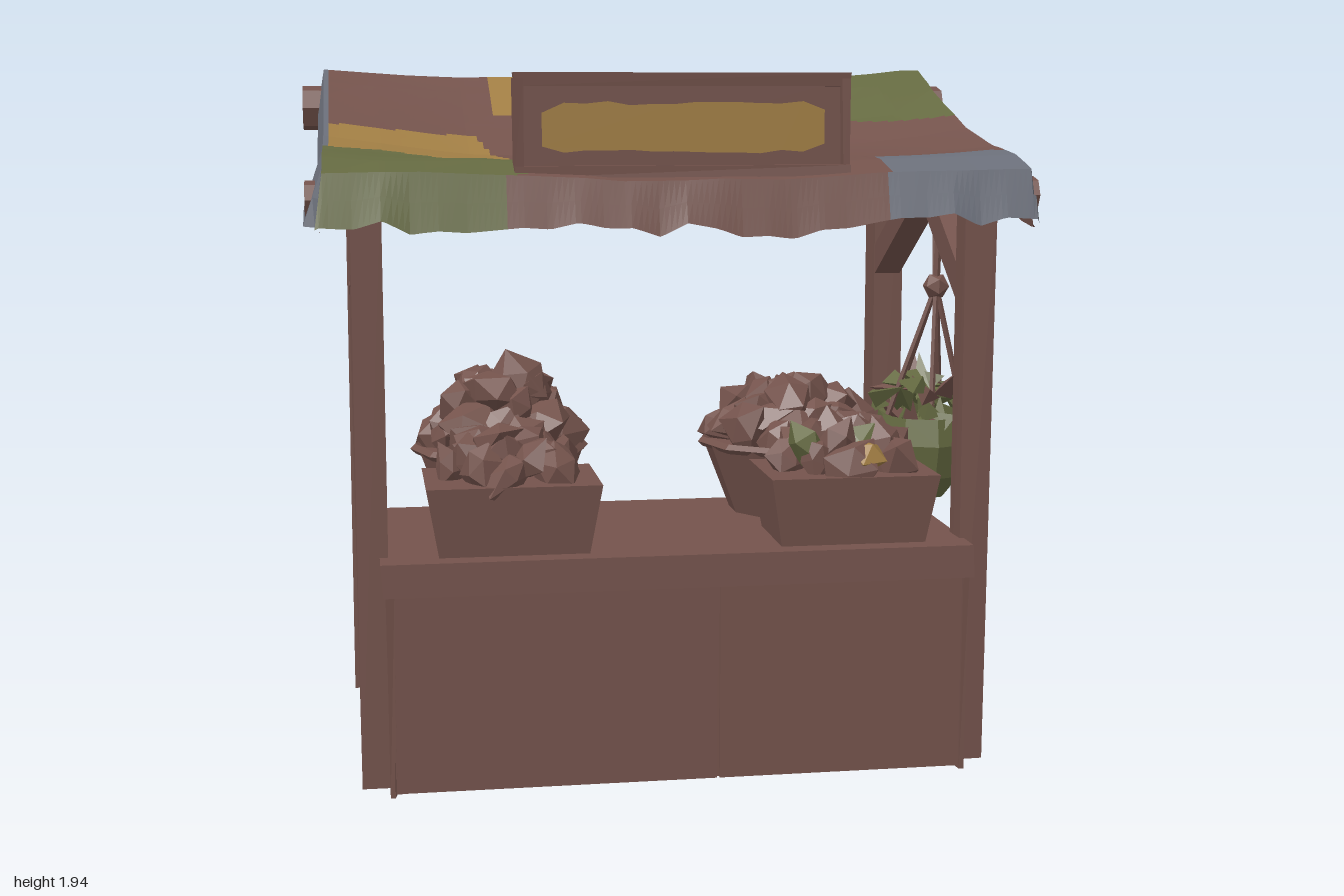
import * as THREE from 'three';

const mat = (name, color) => {
  const m = new THREE.MeshStandardMaterial({ color, flatShading: true });
  m.name = name;
  return m;
};

export function createModel() {
  const root = new THREE.Group();
  root.name = 'marketStall';
  const wood = mat('brown', 0x74534c), green = mat('green', 0x656a41);
  const blue = mat('slate', 0x6b6f7a), yellow = mat('ochre', 0xa17e44);

  // Seeded numbers in 0..1, and a repeatable value per position
  let seed = 7;
  const rnd = () => (seed = (seed * 16807) % 2147483647) / 2147483647;
  const hash = (a, b = 0, c = 0) => {
    const v = Math.sin(a * 127.1 + b * 311.7 + c * 74.7) * 43758.5453;
    return v - Math.floor(v);
  };
  const add = (name, geo, material, x = 0, y = 0, z = 0) => {
    const m = new THREE.Mesh(geo, material);
    m.name = name;
    m.position.set(x, y, z);
    root.add(m);
    return m;
  };
  const warp = (geo, rule) => {
    const p = geo.attributes.position, v = new THREE.Vector3();
    for (let i = 0; i < p.count; i++) {
      rule(v.fromBufferAttribute(p, i));
      p.setXYZ(i, v.x, v.y, v.z);
    }
    geo.computeVertexNormals();
    return geo;
  };
  // Box from its limits, with hand-cut corners
  const box = (name, [x0, x1], [y0, y1], [z0, z1], material = wood, rough = 0.008) => {
    const cx = (x0 + x1) / 2, cy = (y0 + y1) / 2, cz = (z0 + z1) / 2;
    add(name, warp(new THREE.BoxGeometry(x1 - x0, y1 - y0, z1 - z0), (v) => {
      const a = v.x + cx, b = v.y + cy, c = v.z + cz;
      v.x -= Math.sign(v.x) * rough * hash(a, b, c);
      v.z -= Math.sign(v.z) * rough * hash(c, a, b);
    }), material, cx, cy, cz);
  };
  // Straight bar between two points
  const bar = (name, a, b, r, sides = 4) => {
    const A = new THREE.Vector3(...a), B = new THREE.Vector3(...b);
    const geo = new THREE.CylinderGeometry(r, r, A.distanceTo(B), sides);
    if (sides === 4) geo.rotateY(Math.PI / 4);
    const m = add(name, geo, wood);
    m.position.copy(A).add(B).multiplyScalar(0.5);
    m.quaternion.setFromUnitVectors(new THREE.Vector3(0, 1, 0), B.sub(A).normalize());
  };

  // Timber frame
  for (const s of [-1, 1]) {
    const span = (a, b) => (s > 0 ? [a, b] : [-b, -a]);
    box('frontPost', span(0.785, 0.875), [0.01, 1.62], [0.4, 0.495]);
    box('backPost', span(0.785, 0.885), [0.01, 1.86], [-0.58, -0.45]);
    bar('rafter', [s * 0.83, 1.79, -0.5], [s * 0.83, 1.59, 0.46], 0.042);
    bar('frontBrace', [s * 0.83, 1.34, 0.43], [s * 0.83, 1.62, 0.03], 0.058);
    bar('backBrace', [s * 0.83, 1.34, -0.48], [s * 0.83, 1.62, 0], 0.058);
  }
  bar('frontBeam', [-0.98, 1.6, 0.48], [0.98, 1.6, 0.48], 0.05, 7);
  bar('backBeam', [-1, 1.83, -0.51], [1, 1.83, -0.51], 0.068, 7);
  // Paint marks on one back post
  box('postMarkHigh', [0.862, 0.883], [1.35, 1.42], [-0.456, -0.447], yellow, 0);
  box('postMarkLow', [0.782, 0.79], [0.25, 0.37], [-0.5, -0.452], yellow, 0);

  // Counter: hollow below, with thin walls
  box('counterTop', [-0.81, 0.805], [0.56, 0.65], [-0.17, 0.585]);
  box('counterBack', [-0.775, 0.775], [0.015, 0.57], [-0.155, -0.135], wood, 0);
  box('frontPanelRight', [-0.775, 0.092], [0.02, 0.57], [0.545, 0.567], wood, 0);
  box('frontPanelLeft', [0.1, 0.775], [0.02, 0.57], [0.545, 0.567], wood, 0);
  box('frontSeam', [0.08, 0.11], [0.02, 0.57], [0.54, 0.555], wood, 0);
  for (const x of [-0.772, 0.772]) {
    box('counterSide', [x - 0.01, x + 0.01], [0.015, 0.57], [-0.15, 0.555], wood, 0);
    for (const z of [0.555, -0.145])
      box('counterCorner', [x * 1.016 - 0.012, x * 1.016 + 0.012], [0.01, 0.57], [z - 0.02, z + 0.02]);
  }

  // Canopy cloth: height profile, sag, creases and hem
  const XE = 0.935, ZE = 0.58;
  const profile = [[-0.58, 1.91], [-0.52, 1.945], [-0.4, 1.91], [-0.2, 1.83], [0, 1.76],
    [0.26, 1.715], [0.45, 1.7], [0.58, 1.67]];
  const profileY = (z) => {
    const k = Math.max(1, profile.findIndex((p) => p[0] >= z - 1e-6));
    const [a, b] = [profile[k - 1], profile[k]];
    return a[1] + ((b[1] - a[1]) * (z - a[0])) / (b[0] - a[0]);
  };
  const crease = (x, z) => {
    const i = Math.floor(x / 0.26), j = Math.floor(z / 0.22), f = x / 0.26 - i, g = z / 0.22 - j;
    const near = f + g < 1, c = near ? hash(i, j) : hash(i + 1, j + 1);
    const [u, v] = near ? [f, g] : [1 - g, 1 - f];
    return (c * (1 - u - v) + hash(i + 1, j) * u + hash(i, j + 1) * v) * 0.028 - 0.009;
  };
  const ragged = (t) => {
    const i = Math.floor(t), f = t - i;
    return 0.78 + 0.36 * (hash(i) * (1 - f) + hash(i + 1) * f);
  };
  const axis = (E, n) => [[-E, 1], [-E, 0.5],
    ...Array.from({ length: n + 1 }, (_, i) => [-E + (2 * E * i) / n, 0]), [E, 0.5], [E, 1]];
  const xs = axis(XE, 128), zs = axis(ZE, 84);
  const clothPoint = ([x, dx], [z, dz], under) => {
    const bow = 1 - (x / XE) ** 2, shrink = under ? 0.012 : 0;
    const sag = bow * (0.025 + 0.055 * Math.max(0, 1 - ((z + 0.06) / 0.44) ** 2));
    const hem = z < 0 ? 0.19 + 0.05 * bow : 0.14 * ragged(x * 14);
    const drop = Math.max(dx * 0.14 * ragged(z * 8), dz * hem);
    const snag = x < 0 && z > 0.28 && z < 0.54 ? 0.03 : 0;
    return [x + Math.sign(x) * (dx * (0.02 + snag) - shrink), profileY(z) - sag + crease(x, z) - drop - shrink,
      z + Math.sign(z) * (dz * 0.035 - shrink)];
  };
  // Patchwork layout
  const patch = (x, dx, z, dz) => {
    if (dz && z < 0) return x > 0.4 && !dx ? green : blue;
    if (dz) return x < -0.47 ? green : x > 0.54 ? blue : wood;
    if (dx && x < 0) return blue;
    if (dx) return z > 0.27 || z < -0.555 ? blue : z < -0.05 ? green : wood;
    if (x > 0.37 && z < -0.3 + (x - 0.37) * 0.34) return green;
    if (z < -0.535 || (x < -0.92 && z < 0.18)) return blue;
    if (z < -0.27 - 0.06 * Math.abs(x + 0.03) + 0.04 * Math.max(0, -x - 0.03) && x > -0.435 && x < 0.37)
      return x < -0.03 ? yellow : blue;
    if (x > 0.56 && z > 0.31 + (x - 0.56) * 0.12) return blue;
    const seam = 0.18 + (x + 0.93) * 0.22;
    if (x < -0.38 && z < seam && z > -0.1 - (x + 0.93) * 0.09 && x < -0.5 + (z + 0.14) * 0.27) return yellow;
    return z > seam && x < (z < 0.45 ? -0.38 + (z - 0.3) * 0.9 : -0.25 - (z - 0.45) * 1.5) ? green : wood;
  };
  const cloth = new Map([wood, green, blue, yellow].map((m) => [m, []])), lining = [];
  for (let i = 0; i < xs.length - 1; i++)
    for (let j = 0; j < zs.length - 1; j++) {
      const corners = [[i, j], [i, j + 1], [i + 1, j + 1], [i + 1, j]];
      const mid = (l, k, n) => (l[k][n] + l[k + 1][n]) / 2;
      const m = patch(mid(xs, i, 0), mid(xs, i, 1), mid(zs, j, 0), mid(zs, j, 1));
      const up = corners.map(([a, b]) => clothPoint(xs[a], zs[b], false));
      const dn = corners.map(([a, b]) => clothPoint(xs[a], zs[b], true));
      for (const k of [0, 1, 3, 1, 2, 3]) cloth.get(m).push(...up[k]);
      for (const k of [0, 3, 1, 1, 3, 2]) lining.push(...dn[k]);
    }
  for (const [name, m, pts] of [...[...cloth].map(([m, p]) => ['canopy_' + m.name, m, p]), ['canopyLining', wood, lining]]) {
    const g = new THREE.BufferGeometry();
    g.setAttribute('position', new THREE.Float32BufferAttribute(pts, 3));
    g.computeVertexNormals();
    add(name, g, m);
  }

  // Sign board: panel, frame, painted front and coloured strip behind
  box('signPanel', [-0.43, 0.44], [1.67, 1.91], [0.485, 0.525], wood, 0);
  box('signFrameTop', [-0.445, 0.45], [1.89, 1.925], [0.465, 0.555]);
  box('signFrameBottom', [-0.445, 0.45], [1.655, 1.685], [0.465, 0.56]);
  for (const x of [-0.43, 0.435]) box('signFrameSide', [x - 0.015, x + 0.015], [1.67, 1.91], [0.465, 0.555]);
  box('signStripGreen', [0.22, 0.42], [1.685, 1.725], [0.479, 0.486], green, 0);
  box('signStripBlue', [-0.3, 0.22], [1.685, 1.715], [0.479, 0.486], blue, 0);
  const outline = Array.from({ length: 28 }, (_, i) => {
    const top = i >= 14, k = top ? 27 - i : i, end = k === 0 || k === 13 ? 0.02 : 0;
    return new THREE.Vector2(-0.37 + (0.75 * k) / 13, (top ? 1.84 - end : 1.715 + end) + 0.012 * hash(i));
  });
  add('signPaint', new THREE.ShapeGeometry(new THREE.Shape(outline)), yellow, 0, 0, 0.528);

  // Heap of crumpled produce filling an oval, rising to a peak
  const heap = (cx, cz, rx, rz, y0, h, n, size, tint) => {
    for (let i = 0; i < n; i++) {
      const t = Math.sqrt((i + 0.5) / n), a = i * 2.4, k = rnd() * 50;
      const geo = warp(new THREE.IcosahedronGeometry(size * (0.85 + 0.35 * rnd()), 0), (v) =>
        v.multiplyScalar(0.7 + 0.6 * hash(Math.round(v.x * 999) + k, Math.round(v.y * 999), Math.round(v.z * 999))));
      const m = add('produce', geo, tint && i % 6 === 3 ? green : tint && i === 11 ? yellow : wood,
        cx + Math.cos(a) * t * rx, y0 + h * (1 - t * t) * (0.8 + 0.3 * rnd()), cz + Math.sin(a) * t * rz);
      m.rotation.set(rnd() * 6, rnd() * 6, rnd() * 6);
      m.scale.set(1.15, 0.75, 1);
    }
  };
  // Flared crates in front, round bowls behind
  for (const [x, w, tint] of [[-0.45, 0.47, false], [0.48, 0.47, true]]) {
    add('crate', warp(new THREE.BoxGeometry(w, 0.19, 0.32), (v) => {
      if (v.y < 0) v.set(v.x * 0.86, v.y, v.z * 0.84);
    }), wood, x, 0.745, 0.385);
    heap(x, 0.385, w / 2 - 0.06, 0.11, 0.86, 0.08, 20, 0.062, tint);
  }
  for (const [x, r, h, size] of [[-0.45, 0.245, 0.17, 0.078], [0.41, 0.26, 0.12, 0.072]]) {
    add('bowl', new THREE.CylinderGeometry(r, r * 0.68, 0.21, 10), wood, x, 0.752, 0);
    add('bowlRim', new THREE.TorusGeometry(r, 0.014, 4, 10).rotateX(Math.PI / 2), wood, x, 0.857, 0);
    heap(x, 0, r - 0.055, r - 0.055, 0.88, h, 28, size, false);
  }

  // Hanging basket with leaves and ropes
  const bx = 0.835, bz = -0.045, knot = [0.845, 1.31, 0.03];
  const rings = [[0, 0.665], [0.07, 0.67], [0.125, 0.74], [0.148, 0.84], [0.135, 0.92], [0.1, 0.9], [0, 0.88]];
  const basket = new THREE.LatheGeometry(rings.map(([r, y]) => new THREE.Vector2(r, y)), 9);
  add('hangingBasket', basket.scale(1, 1, 1.17), green, bx, 0, bz);
  for (let i = 0; i < 38; i++) {
    const a = i * 2.4, r = 0.04 + 0.09 * rnd();
    const leaf = add('leaf', new THREE.ConeGeometry(0.035, 0.11, 3), i % 5 === 2 ? wood : green,
      bx + Math.cos(a) * r, 0.89 + 0.15 * rnd(), bz + Math.sin(a) * r * 1.15);
    leaf.rotation.set(rnd() * 3 - 1.5, a, rnd() * 3 - 1.5);
  }
  for (let a = 0.4; a < 6; a += 1.257)
    bar('rope', [bx + Math.cos(a) * 0.12, 0.92, bz + Math.sin(a) * 0.12], knot, 0.009, 5);
  add('knot', new THREE.IcosahedronGeometry(0.04, 0), wood, ...knot);
  for (const s of [-1, 1]) bar('rope', knot, [0.845, 1.64, 0.025 + s * 0.03], 0.011, 5);
  add('ropeLoop', new THREE.TorusGeometry(0.055, 0.013, 4, 8).rotateY(Math.PI / 2), wood, 0.835, 1.62, 0.02);
  return root;
}
